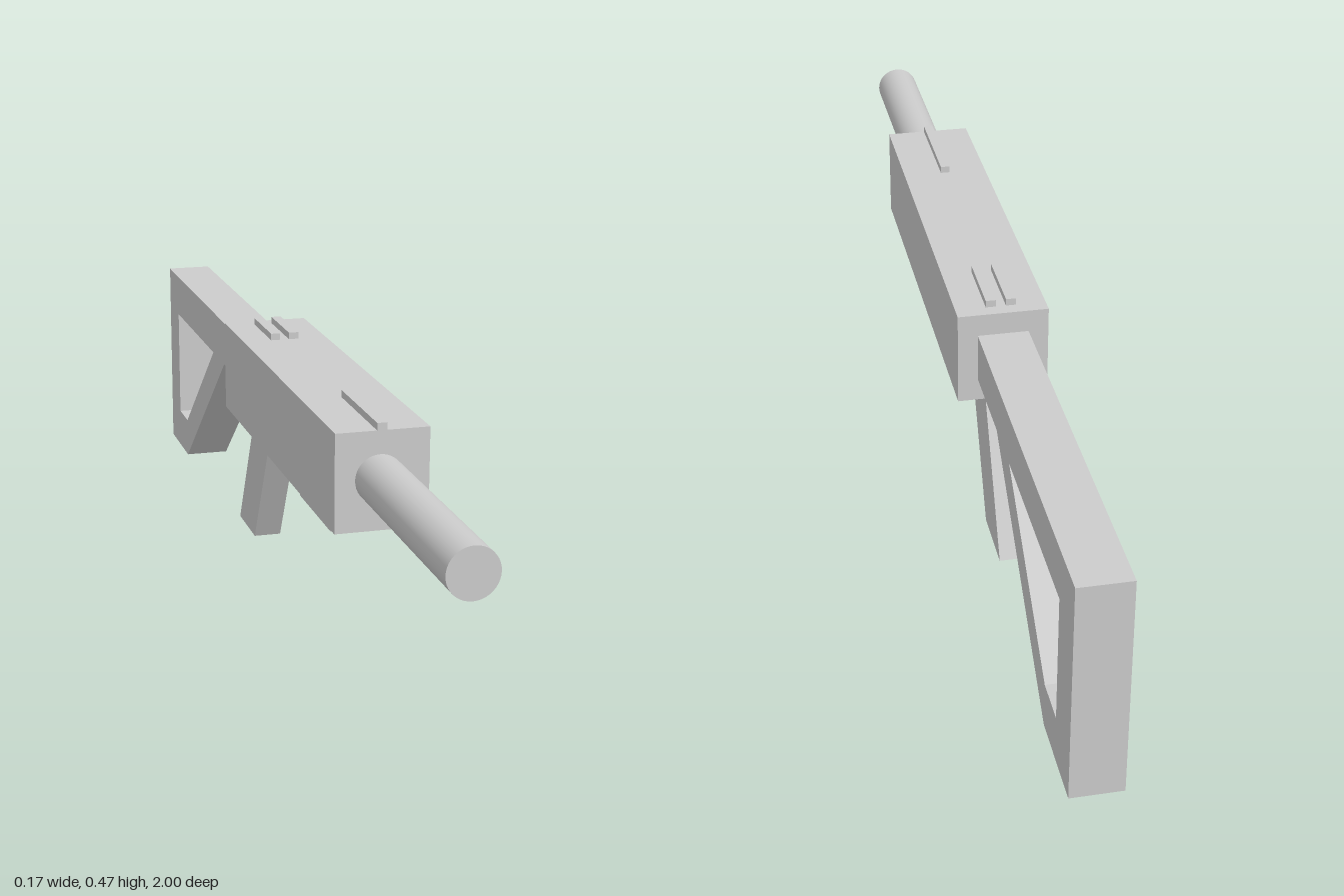
import * as THREE from 'three';

const material = new THREE.MeshStandardMaterial({ color: 0xcccccc });

export function createModel() {
  const model = new THREE.Group();
  model.name = 'toyBlaster';

  const add = (name, geometry) => {
    const mesh = new THREE.Mesh(geometry, material);
    mesh.name = name;
    model.add(mesh);
    return mesh;
  };

  // Box given by its limits on each axis
  const box = (name, [x0, x1], [y0, y1], [z0, z1]) =>
    add(name, new THREE.BoxGeometry(x1 - x0, y1 - y0, z1 - z0))
      .position.set((x0 + x1) / 2, (y0 + y1) / 2, (z0 + z1) / 2);

  // Side profile of [z, y] points, extruded across x and centred on x = 0
  const points = (list) => list.map(([z, y]) => new THREE.Vector2(z, y));
  const profile = (name, outline, width, hole) => {
    const shape = new THREE.Shape(points(outline));
    if (hole) shape.holes.push(new THREE.Path(points(hole)));
    const geometry = new THREE.ExtrudeGeometry(shape, { depth: width, bevelEnabled: false });
    geometry.translate(0, 0, -width / 2).rotateY(-Math.PI / 2);
    return add(name, geometry);
  };

  // Main body and the block beneath it
  box('body', [-0.083, 0.083], [0.284, 0.46], [-0.255, 0.547]);
  box('underBlock', [-0.028, 0.028], [0.21, 0.284], [0.127, 0.336]);

  // Sights: one rail in front, a pair behind
  box('frontSight', [-0.01, 0.008], [0.46, 0.473], [0.338, 0.547]);
  box('rearSightRight', [-0.028, -0.01], [0.46, 0.473], [-0.229, -0.091]);
  box('rearSightLeft', [0.008, 0.027], [0.46, 0.473], [-0.229, -0.091]);

  // Round barrel
  const barrel = new THREE.CylinderGeometry(0.0435, 0.0435, 0.453, 40);
  add('barrel', barrel.rotateX(Math.PI / 2)).position.set(-0.004, 0.375, 0.7735);

  // Slanted grip
  profile('grip', [[-0.09, 0.284], [-0.225, 0.284], [-0.371, 0], [-0.24, 0]], 0.055);

  // Open-frame stock
  profile(
    'stock',
    [[-0.255, 0.418], [-1, 0.418], [-1, 0.003], [-0.826, 0.003], [-0.427, 0.327], [-0.255, 0.327]],
    0.093,
    [[-0.532, 0.327], [-0.907, 0.327], [-0.907, 0.088], [-0.826, 0.088]]
  );

  return model;
}
